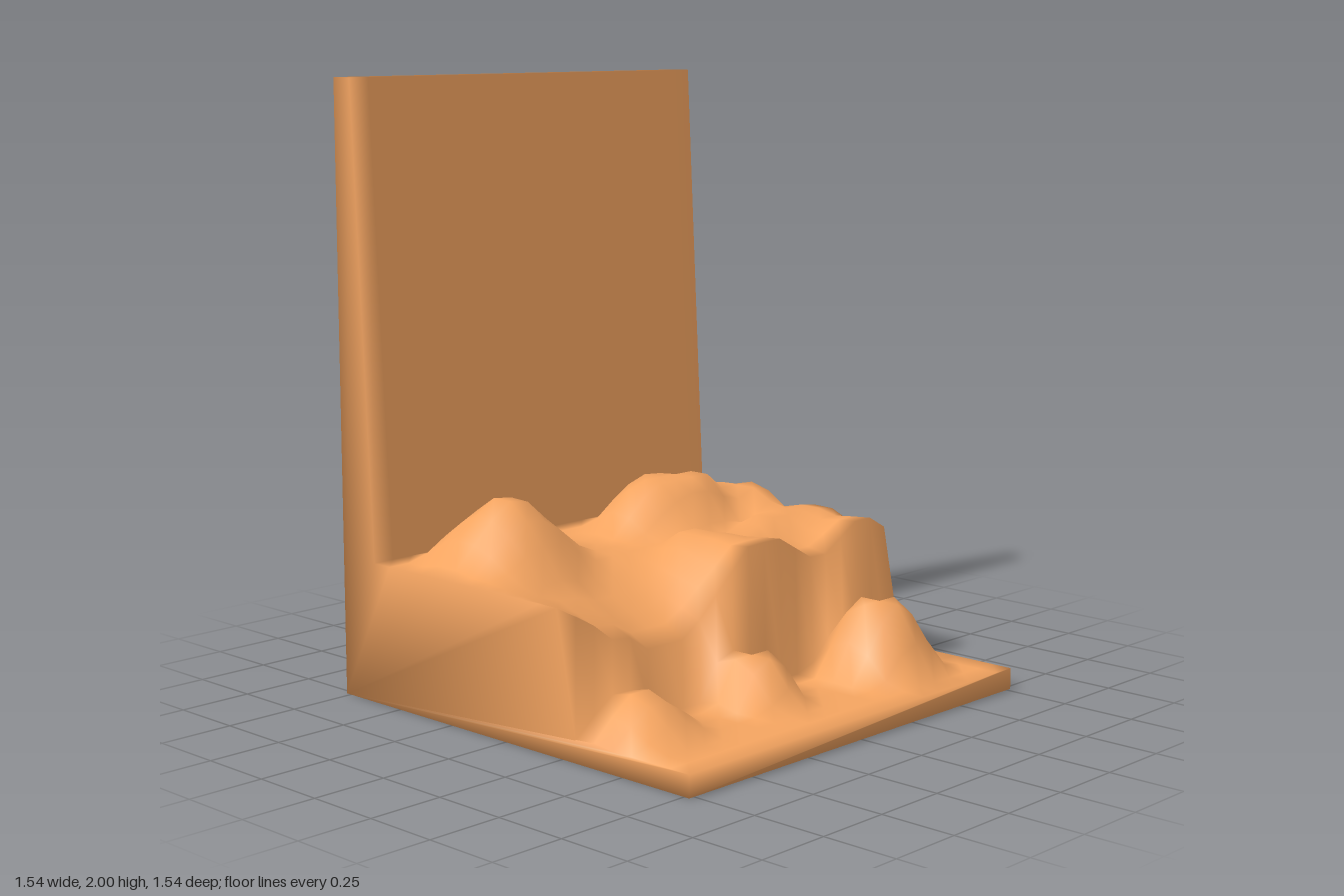
import * as THREE from 'three';

const N = 20, HALF = 0.77, STEP = (2 * HALF) / N;
const FLOOR = 0.07, PLATEAU = 0.46, WALL = 2;
const clamp = (v) => Math.min(1, Math.max(0, v));

// Flat-topped hills: centre x, z, radii x, z, height, flat share of the radius
const upperHills = [
  [-0.44, -0.35, 0.27, 0.29, 0.2, 0.2],
  [0.33, -0.36, 0.34, 0.23, 0.16, 0.45],
  [0.62, -0.31, 0.15, 0.23, 0.1, 0.5],
  [0.58, -0.04, 0.3, 0.13, 0.05, 0.6],
  [0.12, 0.0, 0.16, 0.16, 0.05, 0.55],
];
const lowerHills = [
  [-0.58, 0.38, 0.2, 0.24, 0.125, 0.25],
  [-0.08, 0.38, 0.16, 0.2, 0.14, 0.5],
  [0.46, 0.46, 0.23, 0.23, 0.23, 0.35],
];

// Height of the cliff brow along x
const brow = [
  [-0.77, 0.46], [-0.62, 0.38], [-0.54, 0.32], [-0.46, 0.31], [-0.39, 0.26], [-0.23, 0.26],
  [-0.15, 0.31], [0, 0.44], [0.08, 0.51], [0.23, 0.51], [0.39, 0.42], [0.46, 0.42],
  [0.62, 0.51], [0.69, 0.51], [0.78, 0.46],
];
function browHeight(x) {
  let k = 1;
  while (k < brow.length - 1 && brow[k][0] < x) k++;
  const [x0, y0] = brow[k - 1], [x1, y1] = brow[k];
  return y0 + (y1 - y0) * clamp((x - x0) / (x1 - x0));
}

function hillHeight(hills, x, z) {
  return Math.max(...hills.map(([cx, cz, rx, rz, h, flat]) =>
    h * clamp((1 - Math.hypot((x - cx) / rx, (z - cz) / rz)) / (1 - flat))));
}

// Rows run from the back wall, over the plateau, down the cliff to the floor
function height(x, z, row) {
  if (row < 2) return WALL;
  if (row === 2) return PLATEAU;
  if (row > 13) return FLOOR + hillHeight(lowerHills, x, z);
  const delta = browHeight(x) - PLATEAU;
  if (row === 13) return PLATEAU + delta;
  const reach = delta < 0 ? (x > 0.25 ? 0.22 : 0.4) : 0.3;
  const fade = clamp((z - 0.23 + reach) / reach);
  const hills = hillHeight(upperHills, x, z);
  return PLATEAU + (delta < 0 ? delta * fade + hills : Math.max(delta * Math.sqrt(fade), hills));
}

function createTerrainGeometry() {
  const pos = [], index = [];
  const id = (i, j) => j * (N + 1) + i;

  // Upper surface
  for (let j = 0; j <= N; j++) {
    for (let i = 0; i <= N; i++) {
      const x = -HALF + i * STEP, z = -HALF + j * STEP;
      pos.push(x, height(x, z, j), z);
    }
  }
  for (let j = 0; j < N; j++) {
    for (let i = 0; i < N; i++) {
      const a = id(i, j), b = id(i + 1, j), c = id(i, j + 1), d = id(i + 1, j + 1);
      index.push(a, c, b, b, c, d);
    }
  }

  // Four bottom corners
  const BL = pos.length / 3, BR = BL + 1, FL = BL + 2, FR = BL + 3;
  for (const z of [-HALF, HALF]) for (const x of [-HALF, HALF]) pos.push(x, 0, z);

  // Sides and underside, each fanned from one corner
  const fan = (corner, loop, flip) => {
    for (let k = 0; k < loop.length - 1; k++) {
      if (flip) index.push(corner, loop[k + 1], loop[k]);
      else index.push(corner, loop[k], loop[k + 1]);
    }
  };
  const steps = Array.from({ length: N + 1 }, (_, k) => k);
  fan(BR, [...steps.map((j) => id(N, j)), FR], false);
  fan(BL, [...steps.map((j) => id(0, j)), FL], true);
  fan(FL, [...steps.map((i) => id(i, N)), FR], true);
  fan(BR, [BL, ...steps.map((i) => id(i, 0))], false);
  fan(BL, [BR, FR, FL], false);

  const geometry = new THREE.BufferGeometry();
  geometry.setAttribute('position', new THREE.Float32BufferAttribute(pos, 3));
  geometry.setIndex(index);
  geometry.computeVertexNormals();
  return geometry;
}

export function createModel() {
  const group = new THREE.Group();
  group.name = 'terrainDiorama';
  const terrain = new THREE.Mesh(
    createTerrainGeometry(),
    new THREE.MeshStandardMaterial({ color: 0xf4a460 }),
  );
  terrain.name = 'terrainWithBackWall';
  group.add(terrain);
  return group;
}
